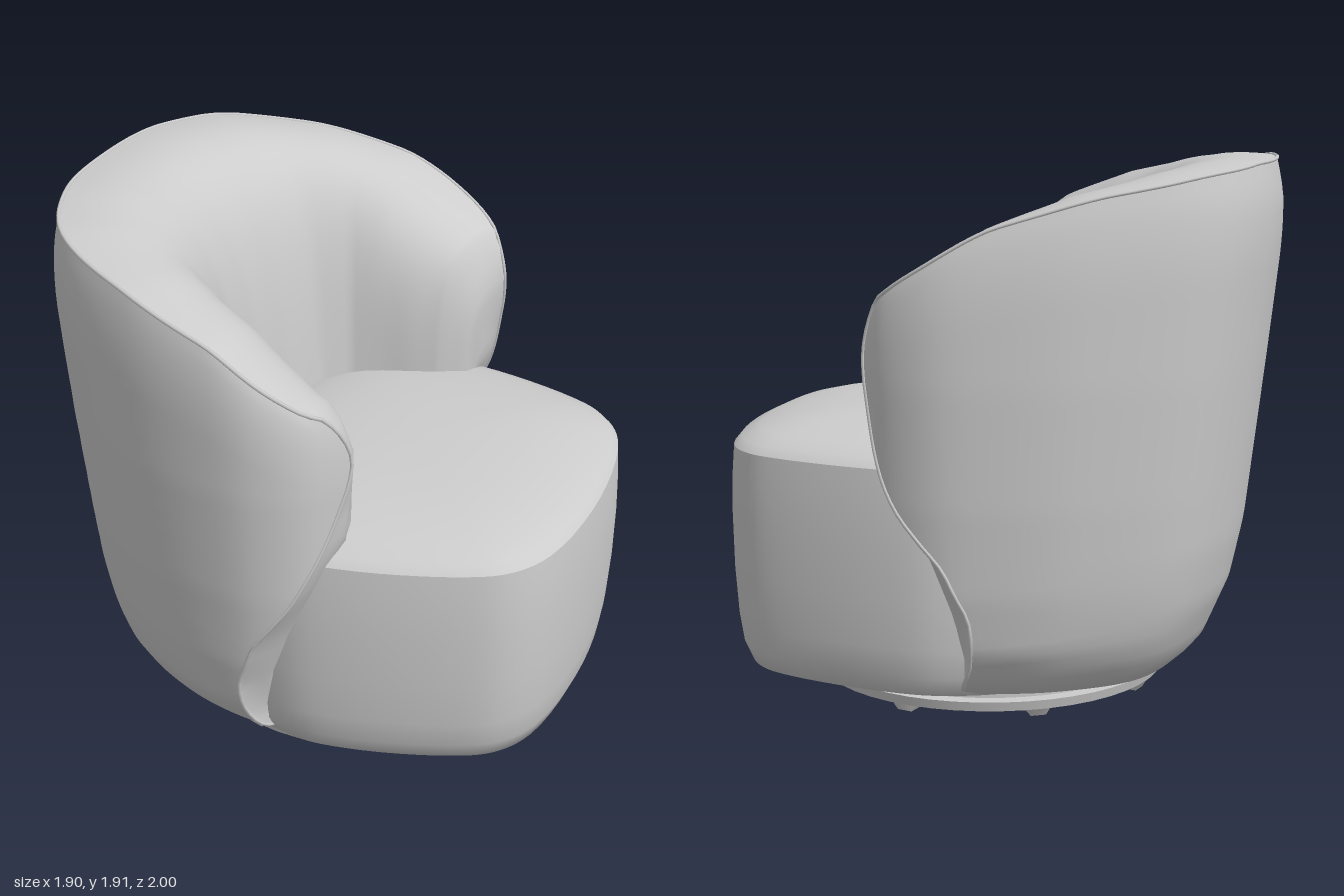
import * as THREE from 'three';

const V = (x, y, z) => new THREE.Vector3(x, y, z);

// Linear lookup in a short [key, value] table
function look(table, k) {
  if (k <= table[0][0]) return table[0][1];
  for (let i = 1; i < table.length; i++) {
    const [k0, v0] = table[i - 1], [k1, v1] = table[i];
    if (k <= k1) return v0 + (v1 - v0) * (k - k0) / (k1 - k0);
  }
  return table[table.length - 1][1];
}

// Surface from a function of (a, b), both 0..1
function surface(na, nb, fn, closed = false) {
  const pos = [], idx = [], cols = closed ? na : na + 1;
  for (let j = 0; j <= nb; j++) for (let i = 0; i < cols; i++) pos.push(...fn(i / na, j / nb).toArray());
  for (let j = 0; j < nb; j++) for (let i = 0; i < na; i++) {
    const i1 = (i + 1) % cols;
    const p = j * cols + i, q = j * cols + i1, r = p + cols, s = q + cols;
    idx.push(p, r, q, q, r, s);
  }
  const g = new THREE.BufferGeometry();
  g.setAttribute('position', new THREE.Float32BufferAttribute(pos, 3));
  g.setIndex(idx);
  g.computeVertexNormals();
  return g;
}

// Horseshoe plan of the backrest, from the back centre outwards; the two arms differ slightly
const half = [[0, -1.06], [0.33, -1.025], [0.64, -0.875], [0.86, -0.51], [0.945, -0.17]];
const leftArm = [[0.95, 0.03], [0.89, 0.19], [0.81, 0.265]];
const rightArm = [[0.94, 0], [0.875, 0.14], [0.73, 0.25]];
const plan = new THREE.CatmullRomCurve3([
  ...[...half.slice(1), ...rightArm].reverse().map(([x, z]) => V(-x, 0, z)),
  ...[...half, ...leftArm].map(([x, z]) => V(x, 0, z)),
]);
const rim = [[0, 1.905], [1, 1.905], [2, 1.88], [3, 1.81], [4, 1.71], [5, 1.6], [6, 1.5], [6.3, 1.48]];
const frontEdge = [[0.08, 4.6], [0.25, 4.2], [0.4, 4.15], [0.6, 4.7], [0.8, 5.7], [1, 6.4], [1.2, 6.9], [1.32, 7], [1.42, 6.7], [1.48, 6.3]];
const sideScale = [[0.08, 0.62], [0.12, 0.75], [0.18, 0.83], [0.3, 0.91], [0.5, 0.95], [0.8, 0.98], [1.2, 1]];
const backScale = [[0.08, 0.6], [0.12, 0.68], [0.2, 0.76], [0.4, 0.84], [0.6, 0.88], [1.2, 0.945], [1.78, 1.005]];
const reach = t => look(frontEdge, 0.08 + 1.4 * t);

// Point on the outer panel: s runs arm to arm (-1..1), t bottom to rim (0..1)
function panelPoint(s, t) {
  const y = 0.08 + t * (look(rim, Math.abs(s) * 6.3) - 0.08);
  const p = plan.getPoint((s * reach(t) + 7) / 14);
  const tuck = 1 - 0.04 * Math.max(0, (t - 0.8) / 0.2) ** 2;
  return V(p.x * look(sideScale, y) * tuck, y, p.z * look(p.z < 0 ? backScale : sideScale, y) * tuck);
}

// Crease around the panel: up one arm, over the back, down the other
function creaseParams(r) {
  if (r < 0.2) return { s: -1, t: r / 0.2, column: true };
  if (r > 0.8) return { s: 1, t: (1 - r) / 0.2, column: true };
  return { s: (r - 0.5) / 0.3, t: 1, column: false };
}

// Where the inner cushion meets the seat
function innerFoot({ s, t, column }) {
  const side = Math.sign(s), k = Math.abs(s), y = 0.08 + 1.4 * t;
  if (column) return V(
    side * look([[0.08, 0.55], [0.4, 0.78], [0.8, 0.75], [1, 0.68], [1.3, 0.59], [1.48, 0.52]], y),
    look([[0.08, 0.08], [0.8, 0.78], [1, 0.9], [1.3, 0.93]], y),
    look([[0.4, -0.04], [0.8, 0.11], [1, 0.2], [1.3, 0.19], [1.48, 0.1]], y));
  return V(
    side * look([[0, 0], [0.16, 0.18], [0.35, 0.33], [0.5, 0.41], [0.7, 0.45], [0.85, 0.48], [1, 0.52]], k),
    0.93,
    look([[0, -0.37], [0.16, -0.36], [0.35, -0.31], [0.5, -0.22], [0.7, -0.1], [0.85, 0], [1, 0.1]], k));
}

// Padded inner face: a full curve from crease to seat
function innerPoint(r, v) {
  const p = creaseParams(r), c = panelPoint(p.s, p.t), d = innerFoot(p);
  const rise = Math.max(c.y - d.y, 0);
  const k = p.column ? 1 : Math.abs(p.s);
  const lean = look([[0, 0.12], [0.5, 0.08], [0.8, 0], [1, 0]], k);
  const crest = c.clone().lerp(d, look([[0, 0.78], [1, 0.92]], k)).setY(c.y + 0.07 * rise);
  if (p.column) crest.z += 0.05 * Math.sin(Math.PI * p.t);
  const low = d.clone().lerp(c, lean).setY(d.y + 0.68 * rise);
  return new THREE.CubicBezierCurve3(c, crest, low, d).getPoint(v);
}

// Seat plan, closed
const seatHalf = [[0.65, -0.3], [0.79, 0], [0.78, 0.24], [0.675, 0.61], [0.59, 0.76], [0.44, 0.855]];
const seatPlan = new THREE.CatmullRomCurve3([
  V(0, 0, -0.5), ...seatHalf.map(([x, z]) => V(x, 0, z)), V(0, 0, 0.91),
  ...seatHalf.slice().reverse().map(([x, z]) => V(-x, 0, z)),
], true);

// Stack of scaled seat outlines, given as [scale, height]
function seatLoft(rows) {
  return surface(72, rows.length - 1, (a, b) => {
    const [k, y] = rows[Math.round(b * (rows.length - 1))];
    const p = seatPlan.getPoint(a);
    return V(p.x * k, y, 0.2 + (p.z - 0.2) * k);
  }, true);
}

export function createModel() {
  const model = new THREE.Group();
  const chair = new THREE.Group();
  chair.name = 'armchair';
  chair.position.set(0.02, 0, 0.06);
  chair.rotation.y = THREE.MathUtils.degToRad(14);
  model.add(chair);

  const grey = new THREE.MeshStandardMaterial({ color: 0xcccccc, side: THREE.DoubleSide });
  grey.name = 'grey upholstery';
  const add = (name, geometry, parent = chair) => {
    const mesh = new THREE.Mesh(geometry, grey);
    mesh.name = name;
    parent.add(mesh);
    return mesh;
  };

  // Wraparound backrest and arms
  add('outerShell', surface(80, 40, (a, b) => panelPoint(a * 2 - 1, b)));
  add('innerBackCushion', surface(120, 24, innerPoint));

  // Piping on the crease, and the seam on the back
  const tube = (pts, radius) => new THREE.TubeGeometry(new THREE.CatmullRomCurve3(pts), 160, radius, 6);
  const creasePts = [], seamPts = [];
  for (let i = 0; i <= 80; i++) {
    const p = creaseParams(i / 80);
    creasePts.push(panelPoint(p.s, p.t));
  }
  for (let i = 0; i <= 16; i++) {
    const t = 0.77 * i / 16;
    seamPts.push(panelPoint(-0.85 / reach(t), t));
  }
  add('creasePiping', tube(creasePts, 0.007));
  add('backSeam', tube(seamPts, 0.008));

  // Seat body with a domed top
  add('seatBody', seatLoft([[0, 0.09], [0.84, 0.09], [0.92, 0.11], [0.96, 0.18], [0.98, 0.28], [0.995, 0.45], [1, 0.65], [0.995, 0.8], [0.985, 0.9]]));
  add('seatTop', seatLoft([[0.985, 0.9], [0.95, 0.93], [0.86, 0.96], [0.7, 0.99], [0.5, 1.01], [0.25, 1.02], [0, 1.02]]));

  // Swivel base: neck, disc and feet
  const base = new THREE.Group();
  base.name = 'base';
  chair.add(base);
  add('baseNeck', new THREE.CylinderGeometry(0.6, 0.6, 0.05, 48), base).position.y = 0.085;
  add('baseDisc', new THREE.CylinderGeometry(0.65, 0.64, 0.035, 48), base).position.y = 0.048;
  for (let i = 0; i < 8; i++) {
    const a = (i + 0.6) * Math.PI / 4;
    const foot = add('foot', new THREE.CylinderGeometry(0.09, 0.065, 0.031, 4, 1).rotateY(Math.PI / 4).scale(0.6, 1, 1), base);
    foot.position.set(Math.sin(a) * 0.57, 0.0155, Math.cos(a) * 0.57);
    foot.rotation.y = a;
  }
  return model;
}
